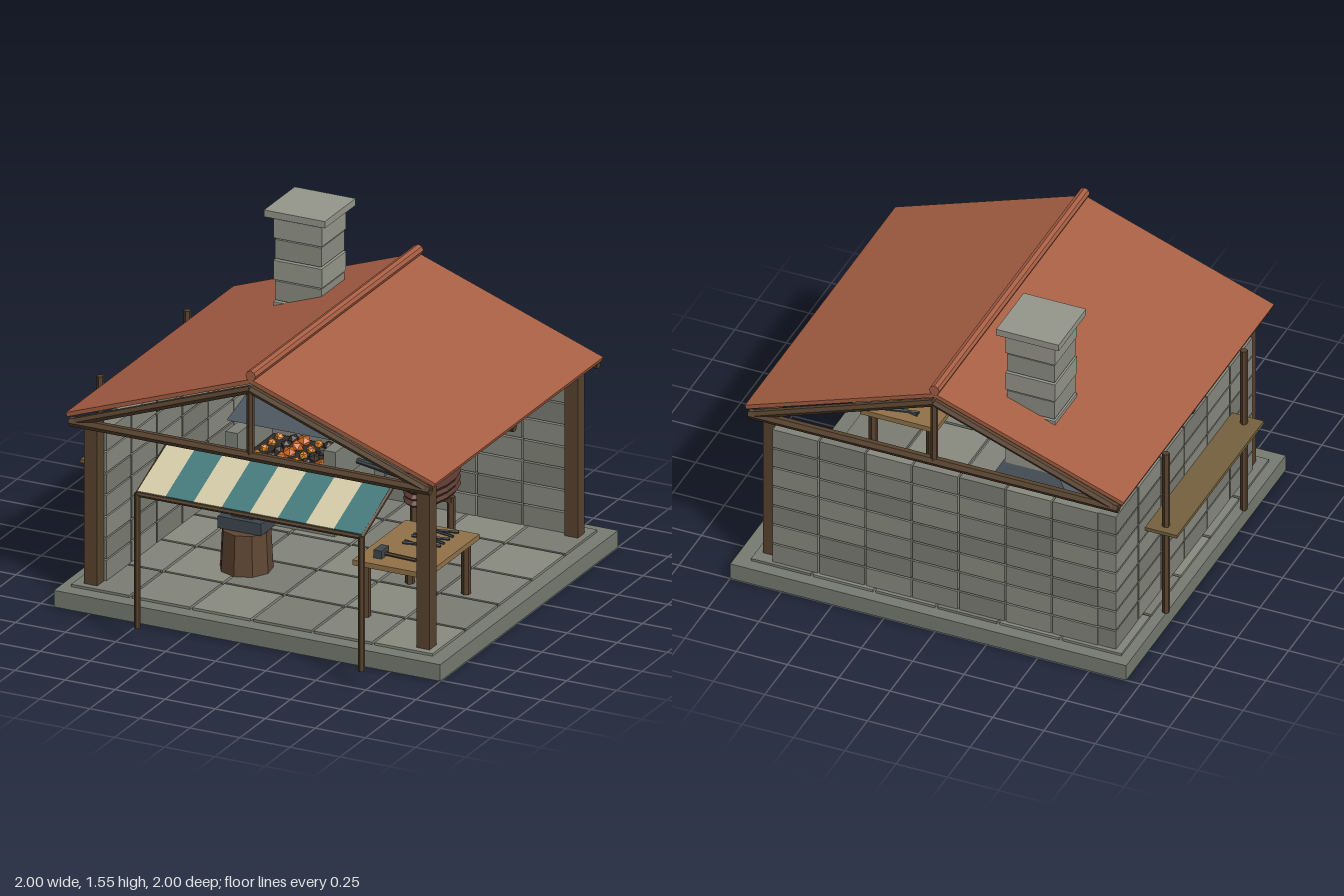
import * as THREE from 'three';

const WOOD = 0x58432f, STONE = [0x83857b, 0x7b7d74, 0x8a8c81], IRON = 0x3f484f, PLANK = 0x927349, STEEL = 0x535e67;
const CX = 0.03; // centre line of the building

export function createModel() {
  const root = new THREE.Group();
  const mats = {};
  const mat = (color) => (mats[color] ??= new THREE.MeshStandardMaterial({ color, flatShading: true }));

  const group = (name) => {
    const g = new THREE.Group();
    g.name = name;
    root.add(g);
    return g;
  };
  const add = (parent, name, geometry, color) => {
    const m = new THREE.Mesh(geometry, mat(color));
    m.name = name;
    parent.add(m);
    return m;
  };
  // Box given by its extents on each axis
  const box = (parent, name, color, x0, x1, y0, y1, z0, z1) => {
    const m = add(parent, name, new THREE.BoxGeometry(x1 - x0, y1 - y0, z1 - z0), color);
    m.position.set((x0 + x1) / 2, (y0 + y1) / 2, (z0 + z1) / 2);
    return m;
  };
  // Round or faceted pole between two points
  const pole = (parent, name, color, a, b, r, sides = 6, rEnd = r) => {
    const p = new THREE.Vector3(...a), q = new THREE.Vector3(...b);
    const m = add(parent, name, new THREE.CylinderGeometry(rEnd, r, p.distanceTo(q), sides), color);
    m.position.copy(p).add(q).multiplyScalar(0.5);
    m.quaternion.setFromUnitVectors(new THREE.Vector3(0, 1, 0), q.sub(p).normalize());
    return m;
  };

  // Base and paving
  const floor = group('floor');
  box(floor, 'base', 0x777c71, -0.93, 1, 0, 0.08, -1, 0.76);
  for (let i = 0; i < 6; i++) for (let j = 0; j < 5; j++) {
    const x = -0.88 + i * 0.303, z = -0.94 + j * 0.328;
    box(floor, 'pavingSlab', STONE[(i * 2 + j) % 3], x, x + 0.29, 0.08, 0.092, z, z + 0.315);
  }

  // Block walls at the back and on the right-hand side
  const walls = group('walls');
  const g = 0.004;
  for (let row = 0; row < 7; row++) {
    const y0 = 0.09 + row * 0.1045 + g, y1 = 0.09 + (row + 1) * 0.1045 - g;
    for (let i = 0; i < 7; i++) {
      const x = -0.762 + i * 0.2275;
      box(walls, 'backWallBlock', STONE[(row * 2 + i * 5 + ((row * i) % 2)) % 3], x + g, x + 0.2275 - g, y0, y1, -0.925, -0.835);
    }
    for (let i = 0; i < 6; i++) {
      const z = 0.59 - i * 0.2525;
      box(walls, 'sideWallBlock', STONE[(row + i * 2 + ((row * i) % 2)) % 3], -0.845, -0.755, y0, y1, z - 0.2525 + g, z - g);
    }
  }

  // Corner posts
  const frame = group('timberFrame');
  for (const x of [-0.8, 0.86]) for (const z of [0.62, -0.845])
    box(frame, 'cornerPost', WOOD, x - 0.033, x + 0.033, 0.09, 0.89, z - 0.033, z + 0.033);

  // Three roof trusses
  for (const z of [0.715, -0.115, -0.945]) {
    pole(frame, 'tieBeam', WOOD, [CX - 0.9, 0.89, z], [CX + 0.9, 0.89, z], 0.023);
    pole(frame, 'kingPost', WOOD, [CX, 0.89, z], [CX, 1.21, z], 0.017);
    for (const s of [-1, 1])
      pole(frame, 'rafter', WOOD, [CX + s * 0.9, 0.885, z], [CX, 1.212, z], 0.02);
  }

  // Roof slopes and ridge
  const roof = group('roof');
  for (const s of [-1, 1]) {
    const slope = Math.atan2(0.33, 0.92);
    const m = add(roof, 'roofSlope', new THREE.BoxGeometry(Math.hypot(0.92, 0.33), 0.02, 1.66), 0xa85f44);
    m.position.set(CX + s * 0.46, 1.083, -0.115);
    m.rotation.z = -s * slope;
  }
  pole(roof, 'ridge', 0xa85f44, [CX, 1.275, 0.715], [CX, 1.275, -0.945], 0.025, 8);

  // Chimney
  const chimney = group('chimney');
  const cx = -0.34, cz = -0.603;
  for (let i = 0; i < 7; i++) {
    const h = i % 2 ? 0.116 : 0.121, y = 0.81 + i * 0.1;
    box(chimney, 'chimneyBlock', i % 2 ? 0x8d8f84 : 0x97988c, cx - h, cx + h, y, y + 0.092, cz - h, cz + h);
  }
  box(chimney, 'chimneyCore', 0x777970, cx - 0.1, cx + 0.1, 0.82, 1.52, cz - 0.1, cz + 0.1);
  box(chimney, 'chimneyCap', 0x97988c, cx - 0.152, cx + 0.152, 1.517, 1.55, cz - 0.152, cz + 0.152);

  // Forge with tapered hood
  const forge = group('forge');
  box(forge, 'hearth', 0x7f8279, -0.61, -0.08, 0.09, 0.355, -0.73, -0.335);
  box(forge, 'hearthBack', 0x85877d, -0.56, -0.13, 0.355, 0.505, -0.73, -0.67);
  for (const x of [-0.59, -0.1])
    box(forge, 'hearthCheek', 0x7f8279, x - 0.03, x + 0.03, 0.355, 0.505, -0.73, -0.325);
  box(forge, 'coalBed', 0x2e2c2a, -0.55, -0.14, 0.355, 0.385, -0.66, -0.34);
  for (let i = 0; i < 24; i++) {
    const coal = add(forge, 'coal', new THREE.IcosahedronGeometry(0.022 + 0.006 * (i % 3), 0), [0xe08a2c, 0x3a3430, 0xc9641f][i % 3]);
    coal.position.set(-0.5 + (i % 6) * 0.062 + 0.01 * (i % 2), 0.392, -0.62 + Math.floor(i / 6) * 0.075);
    coal.rotation.set(i, i * 2, 0);
  }
  const hoodGeo = new THREE.BoxGeometry(0.55, 0.27, 0.43);
  const hp = hoodGeo.attributes.position;
  for (let i = 0; i < hp.count; i++)
    if (hp.getY(i) > 0) hp.setXYZ(i, hp.getX(i) * 0.45, hp.getY(i), hp.getZ(i) * 0.56 - 0.06);
  hoodGeo.computeVertexNormals();
  add(forge, 'hood', hoodGeo, STEEL).position.set(cx, 0.695, -0.54);

  // Bellows: pleated oval body on a stand, with a nozzle into the hearth
  const bellows = group('bellows');
  for (let i = 0; i < 5; i++) {
    const layer = add(bellows, 'pleat', new THREE.CylinderGeometry(i % 2 ? 0.185 : 0.205, i % 2 ? 0.205 : 0.185, 0.016, 14), 0x5b3b32);
    layer.scale.x = 0.5;
    layer.position.set(0.3, 0.303 + i * 0.0155, -0.545);
  }
  pole(bellows, 'nozzle', IRON, [0.3, 0.335, -0.545], [-0.07, 0.387, -0.54], 0.022, 8, 0.014);
  for (const x of [0.21, 0.395]) pole(bellows, 'standLeg', WOOD, [x, 0.09, -0.545], [x, 0.3, -0.545], 0.019);
  box(bellows, 'standRail', WOOD, 0.2, 0.405, 0.275, 0.298, -0.565, -0.525);
  box(bellows, 'handle', PLANK, 0.285, 0.315, 0.358, 0.375, -0.765, -0.68);

  // Anvil on a stump
  const anvil = group('anvil');
  const ax = -0.272, az = 0.16;
  pole(anvil, 'stump', 0x604734, [ax, 0.09, az], [ax, 0.285, az], 0.122, 9, 0.112);
  box(anvil, 'anvilFoot', IRON, ax - 0.108, ax + 0.108, 0.288, 0.345, az - 0.068, az + 0.068);
  box(anvil, 'anvilWaist', IRON, ax - 0.052, ax + 0.052, 0.345, 0.42, az - 0.04, az + 0.04);
  box(anvil, 'anvilBody', IRON, ax - 0.115, ax + 0.115, 0.415, 0.47, az - 0.055, az + 0.055);
  pole(anvil, 'anvilHorn', IRON, [ax + 0.105, 0.445, az], [-0.02, 0.445, az], 0.06, 8, 0.003);

  // Workbench and hand tools
  const bench = group('workbench');
  box(bench, 'benchTop', PLANK, 0.415, 0.785, 0.345, 0.37, -0.055, 0.47);
  for (const x of [0.46, 0.74]) for (const z of [0.425, -0.01])
    pole(bench, 'benchLeg', WOOD, [x, 0.09, z], [x, 0.345, z], 0.022);
  box(bench, 'hammerHead', IRON, 0.488, 0.528, 0.37, 0.408, 0.33, 0.405);
  pole(bench, 'hammerHandle', WOOD, [0.52, 0.385, 0.367], [0.68, 0.38, 0.367], 0.009);
  for (let i = 0; i < 3; i++) {
    const z = 0.01 + i * 0.09;
    for (const s of [-1, 1])
      pole(bench, 'tongArm', IRON, [0.53, 0.377, z - s * 0.012], [0.7, 0.377, z + s * 0.028], 0.007, 5);
  }

  // Striped awning on two poles
  const awning = group('awning');
  const x0 = -0.4, x1 = 0.72, dx = (x1 - x0) / 8;
  const top = [0.865, 0.67], low = [0.735, 0.98];
  const tilt = Math.atan2(top[0] - low[0], low[1] - top[1]);
  for (let i = 0; i < 8; i++) {
    const cloth = add(awning, 'clothStripe', new THREE.BoxGeometry(dx, 0.008, Math.hypot(top[0] - low[0], low[1] - top[1])), i % 2 ? 0x45797c : 0xd2c9a6);
    cloth.position.set(x0 + dx * (i + 0.5), (top[0] + low[0]) / 2, (top[1] + low[1]) / 2);
    cloth.rotation.x = tilt;
  }
  for (const x of [x0, x1]) {
    pole(awning, 'awningPole', WOOD, [x, 0.08, 0.983], [x, 0.73, 0.983], 0.015);
    pole(awning, 'awningRail', WOOD, [x, 0.725, 0.983], [x, 0.862, 0.665], 0.011);
  }
  pole(awning, 'awningBar', WOOD, [x0, 0.725, 0.983], [x1, 0.725, 0.983], 0.012);

  // Outside shelf on two poles
  const shelf = group('outsideShelf');
  box(shelf, 'shelfBoard', 0x75623f, -1, -0.845, 0.535, 0.552, -0.6, 0.36);
  for (const z of [-0.55, 0.31]) pole(shelf, 'shelfPole', WOOD, [-0.925, 0.08, z], [-0.925, 0.95, z], 0.017);

  return root;
}
